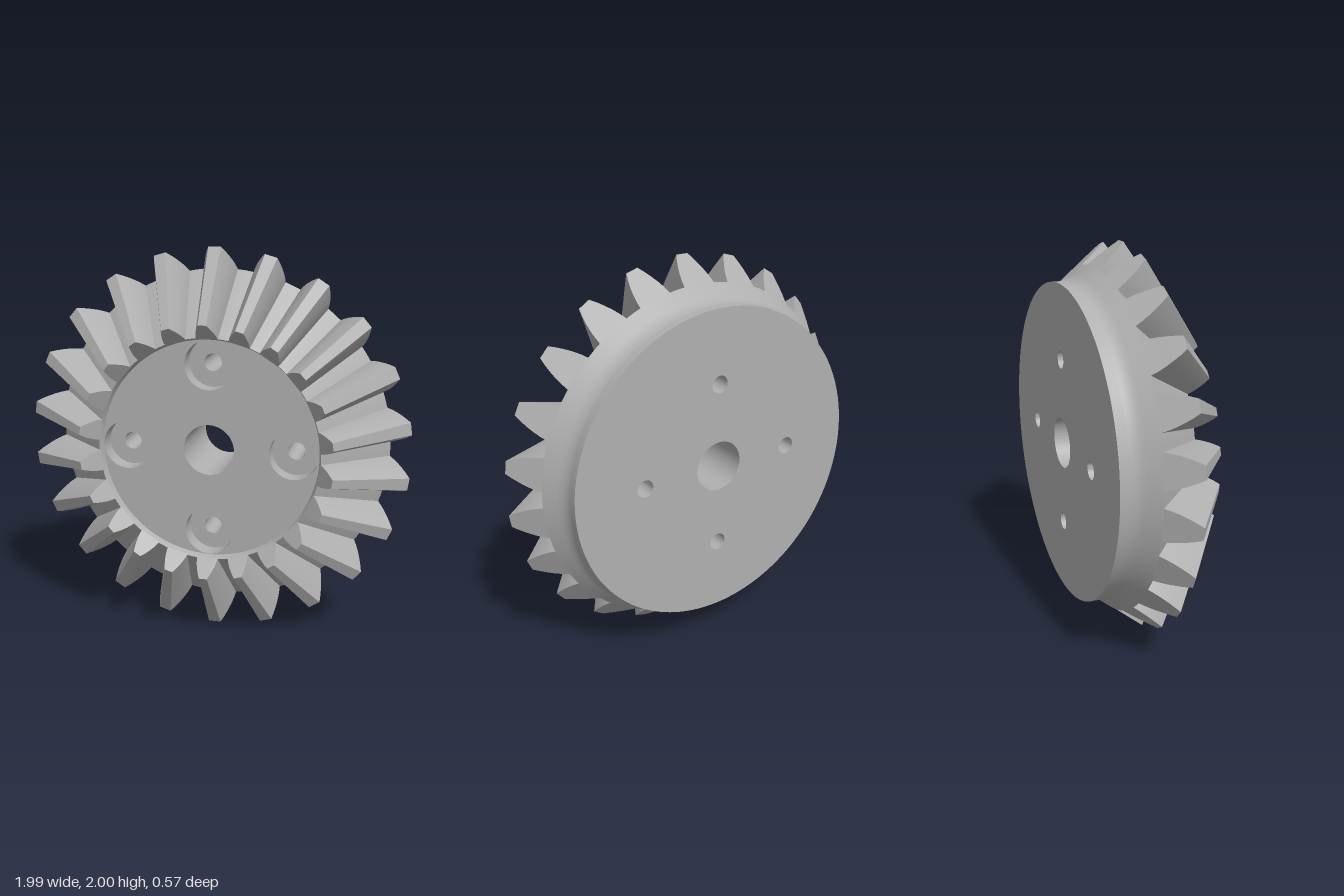
import * as THREE from 'three';
import { toCreasedNormals } from 'three/addons/utils/BufferGeometryUtils.js';

const TEETH = 22;
const APEX = 0.743; // z where all tooth edges would meet
const INNER = 0.647; // scale of the small end of a tooth towards the apex
const BOLT_CIRCLE = 0.433;

const steel = new THREE.MeshStandardMaterial({ color: 0xb0b0b0 });
steel.name = 'steel grey';

function addMesh(parent, name, geometry, crease = 0.5) {
  const mesh = new THREE.Mesh(toCreasedNormals(geometry, crease), steel);
  mesh.name = name;
  parent.add(mesh);
  return mesh;
}

// Round plate with a central bore and four bolt holes
function plate(radius, boltRadius, z0, z1) {
  const shape = new THREE.Shape().absarc(0, 0, radius, 0, Math.PI * 2, false);
  const hole = (x, y, r) => shape.holes.push(new THREE.Path().absarc(x, y, r, 0, Math.PI * 2, true));
  hole(0, 0, 0.13);
  for (let i = 0; i < 4; i++) {
    const a = (i * Math.PI) / 2;
    hole(BOLT_CIRCLE * Math.cos(a), BOLT_CIRCLE * Math.sin(a), boltRadius);
  }
  const geometry = new THREE.ExtrudeGeometry(shape, { depth: z1 - z0, bevelEnabled: false, curveSegments: 66 });
  return geometry.translate(0, 0, z0);
}

// One tapered tooth pointing up: the outer section scaled towards the apex
function toothGeometry() {
  // height from root to tip (0..1), half width
  const flank = [[-0.04, 0.086], [0.2, 0.08], [0.4, 0.072], [0.6, 0.061], [0.8, 0.048], [1, 0.032]];
  const loop = [
    ...flank.map(([f, w]) => [f, w]),
    ...flank.map(([f, w]) => [f, -w]).reverse(),
  ];
  const n = loop.length;
  const positions = [];
  for (const k of [1, INNER]) {
    for (const [f, w] of loop) {
      const r = 0.885 + 0.115 * f;
      const z = -0.11 + 0.145 * f;
      const a = w / r;
      positions.push(r * k * Math.sin(a), r * k * Math.cos(a), APEX + (z - APEX) * k);
    }
  }
  const index = [];
  for (let i = 0; i < n; i++) {
    const j = (i + 1) % n;
    index.push(i, j, n + j, i, n + j, n + i);
  }
  // End faces, as strips between the two flanks
  for (let i = 0; i < flank.length - 1; i++) {
    const a = i, b = i + 1, c = n - 2 - i, d = n - 1 - i;
    index.push(n + a, n + b, n + c, n + a, n + c, n + d);
    index.push(a, c, b, a, d, c);
  }
  const geometry = new THREE.BufferGeometry();
  geometry.setAttribute('position', new THREE.Float32BufferAttribute(positions, 3));
  geometry.setIndex(index);
  return geometry;
}

export function createModel() {
  const model = new THREE.Group();
  model.name = 'bevelGear';
  const gear = new THREE.Group();
  gear.name = 'gear';
  gear.position.y = 1;
  model.add(gear);

  // Hub: back plate, core, and front plate with counterbored bolt holes
  addMesh(gear, 'backPlate', plate(0.81, 0.045, -0.285, -0.235));
  addMesh(gear, 'core', plate(0.562, 0.045, -0.235, 0.065));
  addMesh(gear, 'counterboredFace', plate(0.562, 0.125, 0.065, 0.155));

  // Rim: fillet, back cone, root cone and inner lip
  const profile = [
    [0.81, -0.235], [0.812, -0.22], [0.818, -0.202], [0.827, -0.184], [0.84, -0.167],
    [0.885, -0.11], [0.573, 0.191], [0.56, 0.153],
  ].map(([r, z]) => new THREE.Vector2(r, z));
  addMesh(gear, 'rim', new THREE.LatheGeometry(profile, TEETH * 6).rotateX(Math.PI / 2));

  // Teeth
  const teeth = new THREE.Group();
  teeth.name = 'teeth';
  gear.add(teeth);
  const tooth = toothGeometry();
  for (let i = 0; i < TEETH; i++) {
    addMesh(teeth, 'tooth', tooth, 0.35).rotation.z = (i * Math.PI * 2) / TEETH;
  }
  return model;
}
